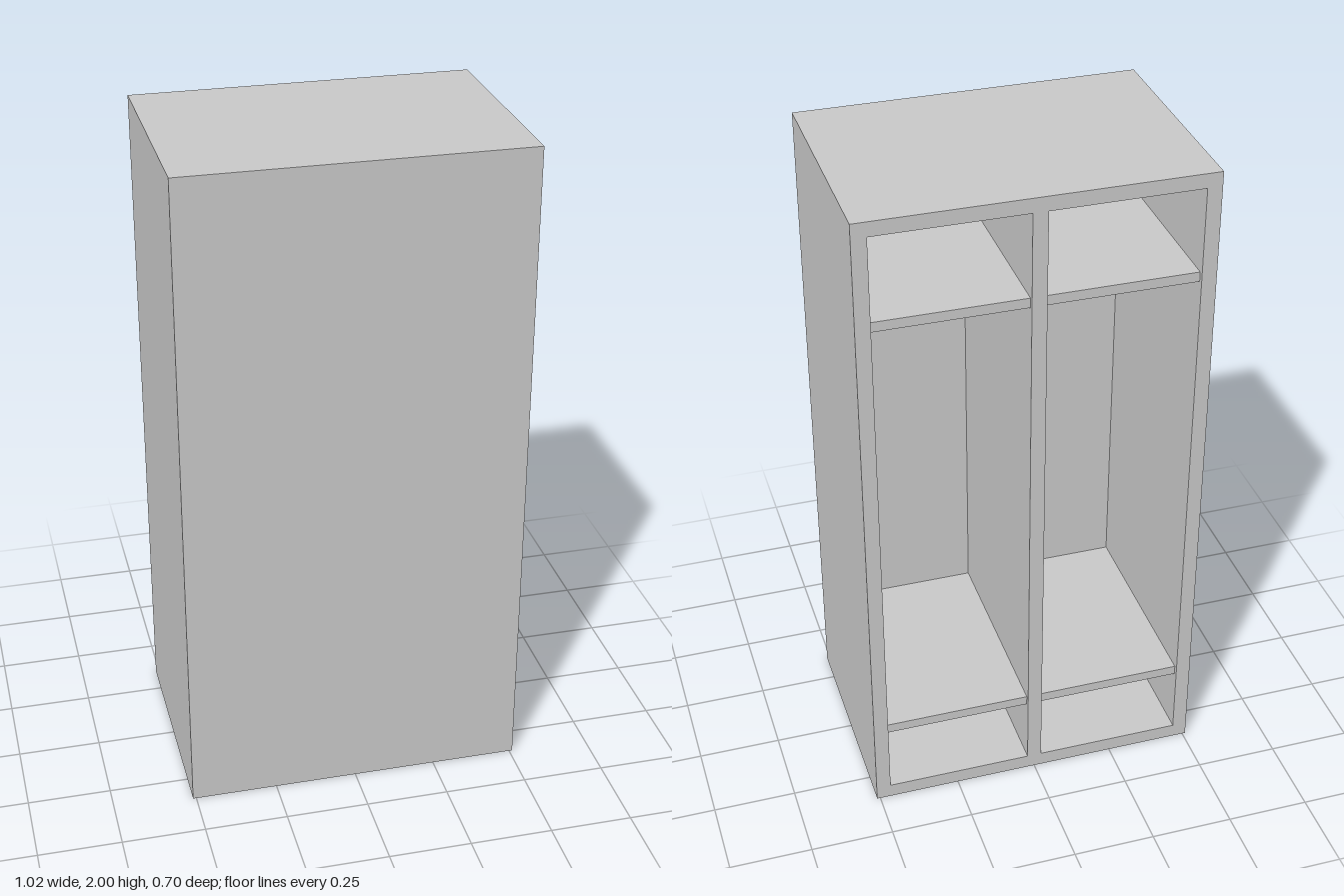
import * as THREE from 'three';

const W = 1.02, H = 2, D = 0.696;   // overall size
const T = 0.044;                    // carcass board thickness
const FRONT = 0.035;                // front panel thickness
const BAY = (W - 3 * T) / 2;        // clear width of each bay
const BAY_X = (BAY + T) / 2;        // bay centre offset

export function createModel() {
  const group = new THREE.Group();
  group.name = 'wardrobe';
  const grey = new THREE.MeshStandardMaterial({ color: 0xc8c8c8 });
  grey.name = 'light grey';

  const add = (name, geometry, x, y, z) => {
    const mesh = new THREE.Mesh(geometry, grey);
    mesh.name = name;
    mesh.position.set(x, y, z);
    group.add(mesh);
    return mesh;
  };
  const rect = (path, x0, y0, x1, y1) =>
    path.moveTo(x0, y0).lineTo(x1, y0).lineTo(x1, y1).lineTo(x0, y1).closePath();

  // Carcass: sides, top, bottom and divider as one frame with two open bays
  const frame = new THREE.Shape();
  rect(frame, -W / 2, 0, W / 2, H);
  for (const s of [-1, 1]) {
    const hole = new THREE.Path();
    rect(hole, s * BAY_X - BAY / 2, T, s * BAY_X + BAY / 2, H - T);
    frame.holes.push(hole);
  }
  add('carcass', new THREE.ExtrudeGeometry(frame, { depth: D - FRONT, bevelEnabled: false }), 0, 0, -D / 2);

  // Closed front panel
  add('frontPanel', new THREE.BoxGeometry(W, H, FRONT), 0, H / 2, D / 2 - FRONT / 2);

  // Shelves and hanging rail in each bay
  const recess = 0.014, shelfDepth = D - FRONT - recess;
  for (const s of [-1, 1]) {
    const side = s > 0 ? 'left' : 'right';
    const x = s * BAY_X;
    for (const [name, y] of [['LowerShelf', 0.265], ['UpperShelf', 1.68]])
      add(side + name, new THREE.BoxGeometry(BAY, 0.03, shelfDepth), x, y, -D / 2 + recess + shelfDepth / 2);

    add(side + 'Rail', new THREE.CylinderGeometry(0.014, 0.014, BAY, 24), x, 1.56, 0).rotation.z = Math.PI / 2;

    // Flared sockets where the rail meets the boards
    for (const e of [-1, 1])
      add(side + 'RailSocket', new THREE.CylinderGeometry(0.017, 0.026, 0.024, 24),
        x + e * (BAY / 2 - 0.012), 1.56, 0).rotation.z = e * Math.PI / 2;
  }
  return group;
}
